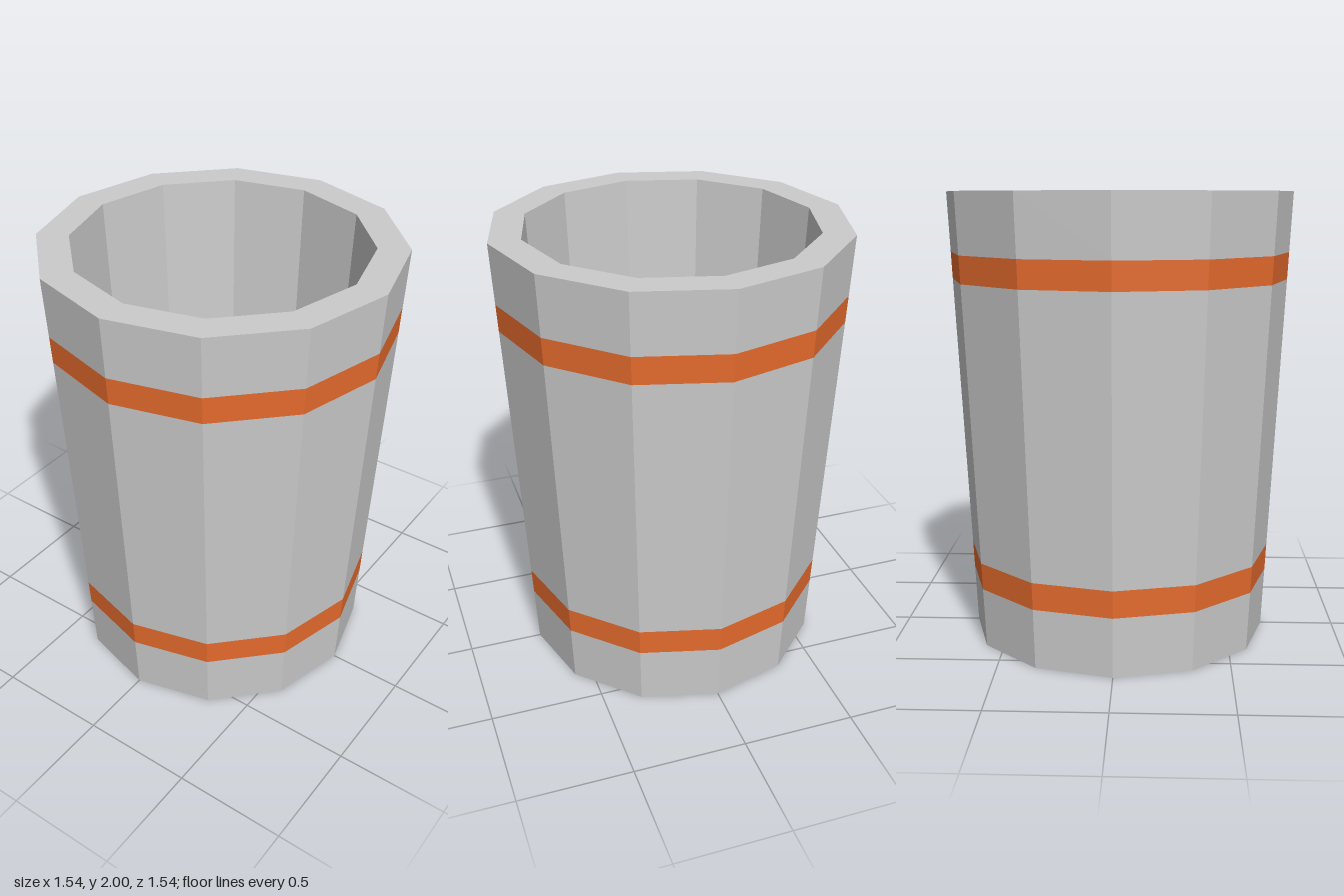
import * as THREE from 'three';

const SIDES = 12;
const grey = new THREE.MeshStandardMaterial({ color: 0xcccccc, flatShading: true });
const orange = new THREE.MeshStandardMaterial({ color: 0xe86c2e, flatShading: true });

// Outer radius of the tapered wall at height y
const outer = (y) => 0.668 + 0.0515 * y;

// Twelve-sided ring surface from a short profile of [radius, height] points
function turned(name, profile, material) {
  const points = profile.map(([r, y]) => new THREE.Vector2(r, y));
  const mesh = new THREE.Mesh(new THREE.LatheGeometry(points, SIDES), material);
  mesh.name = name;
  return mesh;
}

// Piece of the outer wall between two heights
const wall = (name, y0, y1, material) =>
  turned(name, [[outer(y0), y0], [outer(y1), y1]], material);

export function createModel() {
  const group = new THREE.Group();
  group.name = 'cup';
  group.add(
    // Underside and outer wall, with two flush stripes
    turned('base', [[0, 0], [outer(0), 0]], grey),
    wall('lowerWall', 0, 0.265, grey),
    wall('lowerStripe', 0.265, 0.385, orange),
    wall('middleWall', 0.385, 1.615, grey),
    wall('upperStripe', 1.615, 1.735, orange),
    wall('upperWall', 1.735, 2, grey),
    // Thick rim, hollow inside and floor
    turned('rim', [[outer(2), 2], [0.633, 2]], grey),
    turned('innerWall', [[0.633, 2], [0.55, 0.1]], grey),
    turned('floor', [[0.55, 0.1], [0, 0.1]], grey),
  );
  return group;
}
